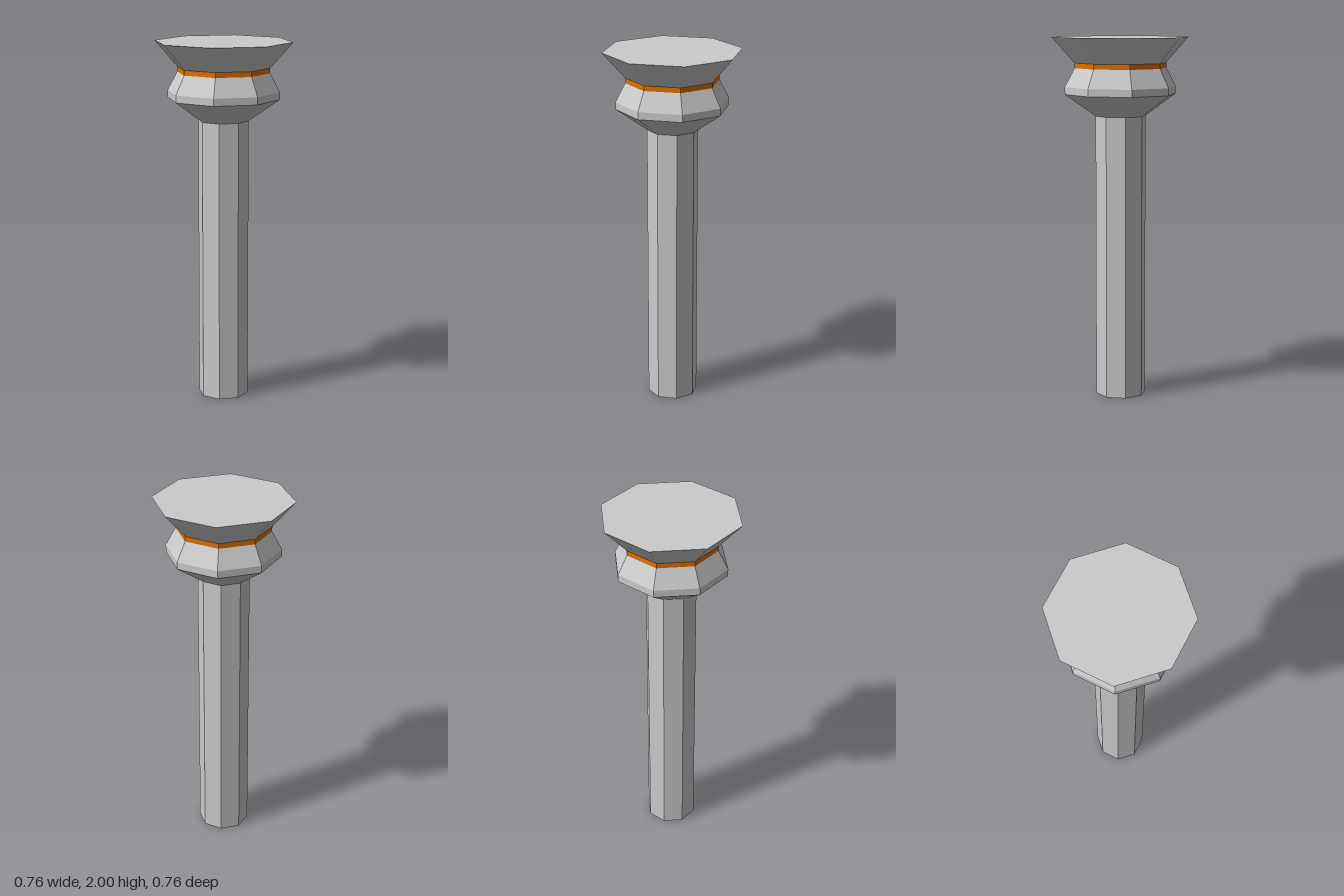
import * as THREE from 'three';

const SIDES = 8;

export function createModel() {
  const group = new THREE.Group();
  const grey = new THREE.MeshStandardMaterial({ color: 0xcccccc, flatShading: true, side: THREE.DoubleSide });
  const orange = new THREE.MeshStandardMaterial({ color: 0xe07000, flatShading: true, side: THREE.DoubleSide });

  // Open octagonal ring between two heights
  function ring(name, y0, r0, y1, r1, material = grey) {
    const geometry = new THREE.CylinderGeometry(r1, r0, y1 - y0, SIDES, 1, true);
    const mesh = new THREE.Mesh(geometry, material);
    mesh.position.y = (y0 + y1) / 2;
    mesh.name = name;
    group.add(mesh);
  }

  // Shaft, hollow and open at the bottom
  ring('shaft', 0, 0.14, 1.57, 0.14);

  // Collar swelling out of the shaft and narrowing to the neck
  ring('collarUnderside', 1.57, 0.14, 1.69, 0.31);
  ring('collarRim', 1.69, 0.31, 1.73, 0.31);
  ring('collarShoulder', 1.73, 0.31, 1.832, 0.256);

  // Coloured neck band
  ring('neckBand', 1.832, 0.256, 1.86, 0.256, orange);

  // Flared head with a flat cap
  ring('flaredHead', 1.86, 0.256, 2, 0.38);
  const cap = new THREE.Mesh(new THREE.CircleGeometry(0.38, SIDES), grey);
  cap.rotation.x = -Math.PI / 2;
  cap.position.y = 2;
  cap.name = 'topCap';
  group.add(cap);

  return group;
}
